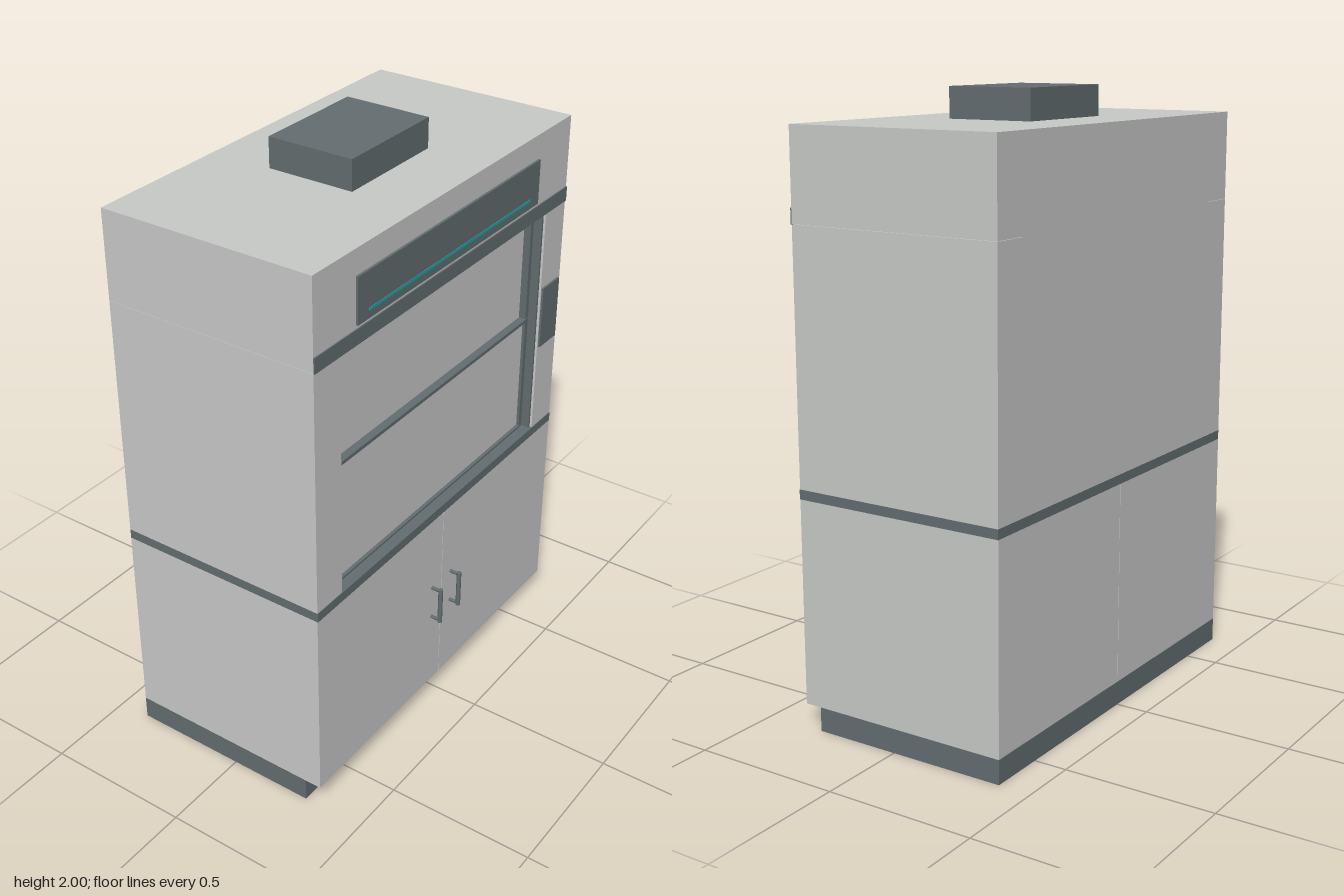
import * as THREE from 'three';

export function createModel() {
  const group = new THREE.Group();
  const makeMaterial = (name, color) => {
    const m = new THREE.MeshStandardMaterial({ color });
    m.name = name;
    return m;
  };
  const body = makeMaterial('light grey', 0xc8cac8);
  const trim = makeMaterial('slate grey', 0x636d70);
  const accent = makeMaterial('teal', 0x1fa3ad);

  const add = (name, geometry, material, x, y, z) => {
    const mesh = new THREE.Mesh(geometry, material);
    mesh.name = name;
    mesh.position.set(x, y, z);
    group.add(mesh);
    return mesh;
  };
  // Box given by its extents on each axis
  const box = (name, material, [x0, x1], [y0, y1], [z0, z1]) =>
    add(name, new THREE.BoxGeometry(x1 - x0, y1 - y0, z1 - z0), material,
      (x0 + x1) / 2, (y0 + y1) / 2, (z0 + z1) / 2);

  const W = 0.695, back = -0.39, front = 0.348;
  const full = [-W, W], depth = [back, front];

  // Base, worktop, header and exhaust duct
  box('plinth', trim, full, [0, 0.08], [back, 0.29]);
  box('worktop', trim, full, [0.755, 0.787], [back, 0.35]);
  box('header', body, full, [1.606, 1.9], depth);
  box('exhaustDuct', trim, [-0.2, 0.2], [1.9, 2], [-0.175, 0.125]);

  // Chamber back, ceiling and sash
  box('chamberBack', body, [-0.57, 0.57], [0.787, 1.606], [back, back + 0.03]);
  box('upperSash', body, [-0.57, 0.57], [1.2, 1.606], [0.275, 0.285]);
  box('lowerSash', body, [-0.57, 0.57], [0.787, 1.21], [0.29, 0.3]);
  box('sashRail', trim, [-0.56, 0.56], [1.203, 1.215], [0.285, 0.312]);
  box('sashSill', trim, [-0.56, 0.56], [0.787, 0.794], [0.3, 0.312]);

  // Mirrored cabinets, side walls, sash tracks and handles
  for (const s of [-1, 1]) {
    const span = (a, b) => (s > 0 ? [a, b] : [-b, -a]);
    box('cabinetHalf', body, span(0.001, W), [0.08, 0.755], depth);
    box('sideWall', body, span(0.57, W), [0.787, 1.605], depth);
    box('sashTrack', trim, span(0.545, 0.57), [0.787, 1.606], [0.285, 0.31]);
    box('sashTrackLip', trim, span(0.562, 0.57), [0.787, 1.606], [0.31, 0.34]);

    const x = s * 0.057;
    add('handleBar', new THREE.CylinderGeometry(0.008, 0.008, 0.135, 16), trim, x, 0.4175, 0.382);
    for (const y of [0.357, 0.478]) {
      const post = add('handlePost', new THREE.CylinderGeometry(0.006, 0.006, 0.034, 12), trim, x, y, 0.365);
      post.rotation.x = Math.PI / 2;
    }
  }

  // Front details: band, display with light line, control plate
  box('headerBand', trim, full, [1.605, 1.655], [front, 0.352]);
  box('displayPanel', trim, [-0.498, 0.495], [1.668, 1.818], [front, 0.356]);
  box('displayLine', accent, [-0.445, 0.443], [1.693, 1.702], [0.356, 0.358]);
  box('controlPlate', trim, [0.575, 0.682], [1.108, 1.33], [front, 0.355]);

  return group;
}
